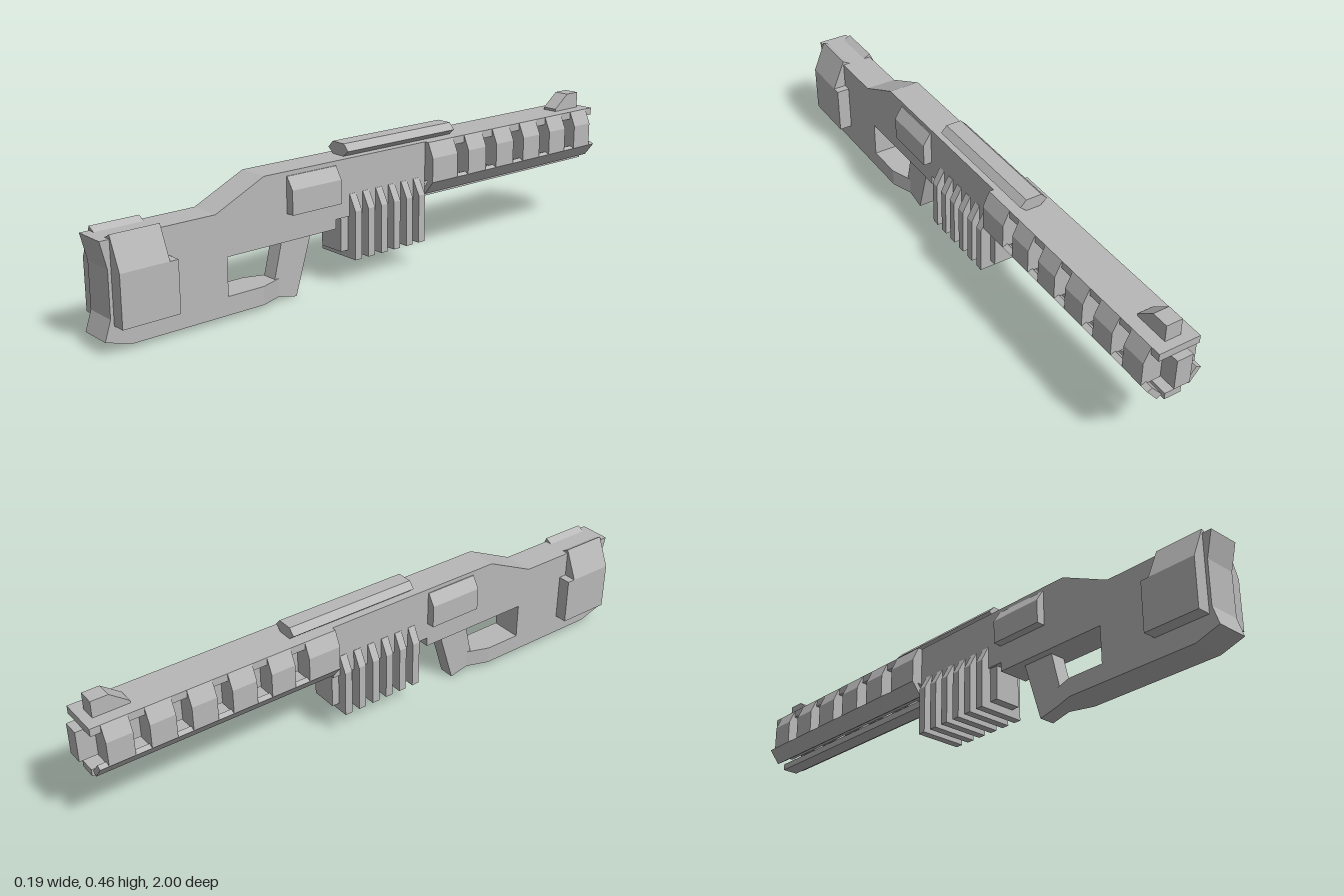
import * as THREE from 'three';

export function createModel() {
  const model = new THREE.Group();
  const grey = new THREE.MeshStandardMaterial({ color: 0xb8b8b8 });
  grey.name = 'plain grey';

  const add = (name, geometry) => {
    const mesh = new THREE.Mesh(geometry, grey);
    mesh.name = name;
    model.add(mesh);
    return mesh;
  };
  const extrude = (points, depth) => new THREE.ExtrudeGeometry(
    new THREE.Shape(points.map(([a, b]) => new THREE.Vector2(a, b))),
    { depth, bevelEnabled: false });
  // Side outline of [z, y] points, centred across x
  const profile = (name, points, halfWidth) =>
    add(name, extrude(points, halfWidth * 2).translate(0, 0, -halfWidth).rotateY(-Math.PI / 2));
  // Cross-section of [x, y] points, running from z0 to z1
  const section = (name, points, z0, z1) =>
    add(name, extrude(points, z1 - z0).translate(0, 0, z0));
  const pair = (name, points, z0, z1) => {
    section('left' + name, points, z0, z1);
    section('right' + name, points.map(([x, y]) => [-x, y]), z0, z1);
  };
  const box = (name, halfX, y0, y1, z0, z1) =>
    section(name, [[-halfX, y0], [halfX, y0], [halfX, y1], [-halfX, y1]], z0, z1);

  // Stock and receiver in one slab
  profile('stockAndReceiver', [
    [1, 0.04], [0.92, 0.015], [0.475, 0.015], [0.475, 0.072], [0.6, 0.072], [0.6, 0.19],
    [0.2, 0.19], [0.2, 0.22], [-0.17, 0.22], [-0.17, 0.402], [0.465, 0.402],
    [0.635, 0.322], [1, 0.322], [0.98, 0.24], [0.98, 0.1],
  ], 0.052);

  // Grip, joined to the stock by a narrowing bar
  profile('grip', [[0.385, 0.195], [0.415, 0.072], [0.4, 0.015], [0.335, 0], [0.275, 0.195]], 0.026);
  add('gripBar', extrude([[-0.052, -0.475], [0.052, -0.475], [0.026, -0.4], [-0.026, -0.4]], 0.057)
    .rotateX(-Math.PI / 2).translate(0, 0.015, 0));

  // Butt pads and receiver side panels
  pair('ButtPad', [[0.03, 0.08], [0.095, 0.08], [0.095, 0.237], [0.052, 0.335], [0.025, 0.32]], 0.815, 0.97);
  pair('ButtPadEdge', [[0.04, 0.08], [0.095, 0.08], [0.095, 0.237], [0.04, 0.237]], 0.788, 0.815);
  pair('SidePanel', [[0.04, 0.275], [0.08, 0.275], [0.08, 0.35], [0.055, 0.388], [0.04, 0.388]], 0.2, 0.385);

  // Magazine with cooling fins
  box('magazine', 0.045, 0.11, 0.23, -0.17, 0.175);
  for (let i = 0; i < 6; i++) {
    const z = 0.133 - i * 0.053;
    section('magazineFin', [
      [-0.08, 0.085], [0.08, 0.085], [0.08, 0.24], [0.053, 0.29], [-0.053, 0.29], [-0.08, 0.24],
    ], z - 0.013, z + 0.013);
  }

  // Barrel core, top plate and underside rail
  box('barrel', 0.026, 0.278, 0.378, -1, -0.165);
  box('topPlate', 0.067, 0.377, 0.402, -0.975, -0.17);
  box('bottomRail', 0.027, 0.215, 0.237, -0.97, -0.165);

  // Slotted handguard panels and angled lower plates
  for (let i = 0; i < 6; i++) {
    const end = -0.943 + i * 0.1325;
    pair('HandguardPanel', [[0.026, 0.275], [0.089, 0.275], [0.089, 0.354], [0.067, 0.402], [0.06, 0.378], [0.026, 0.378]],
      end, i === 5 ? -0.17 : end + 0.082);
  }
  pair('LowerPlate', [[0.089, 0.275], [0.073, 0.282], [0.038, 0.241], [0.054, 0.231]], -0.97, -0.17);

  // Top rail and end sight
  section('topRail', [
    [-0.022, 0.4], [0.022, 0.4], [0.046, 0.42], [0.026, 0.441], [-0.026, 0.441], [-0.046, 0.42],
  ], -0.305, 0.145);
  profile('sight', [[-0.83, 0.4], [-0.83, 0.41], [-0.89, 0.456], [-0.945, 0.456], [-0.945, 0.4]], 0.026);

  return model;
}
